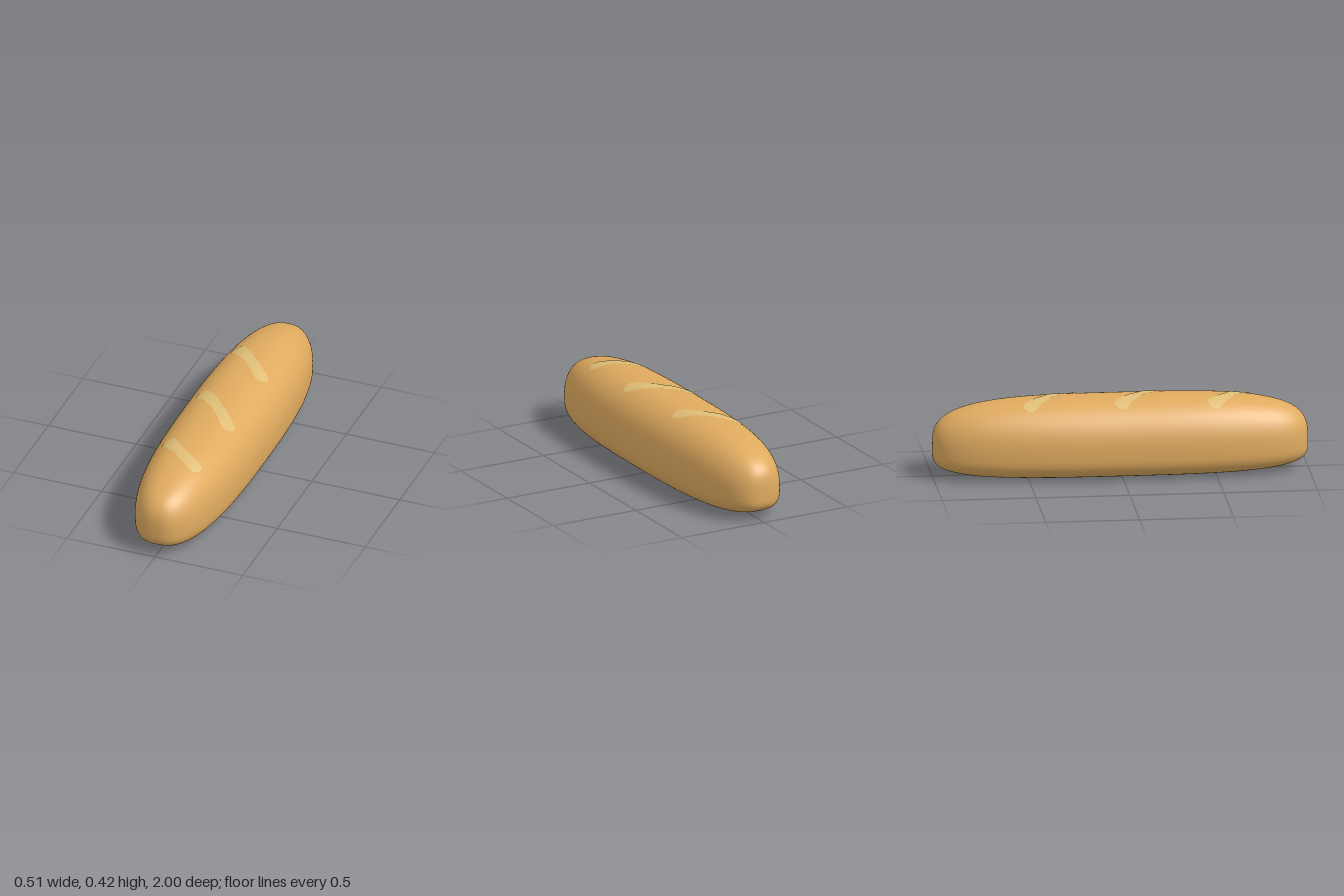
import * as THREE from 'three';

const HALF_WIDTH = 0.253, MID = 0.15, TOP = 0.273, BOTTOM = 0.148;

// Superellipse falloff: 1 in the middle, 0 at u = 1
const fall = (u, n) => Math.pow(Math.max(0, 1 - Math.pow(Math.abs(u), n)), 1 / n);
const signedPow = (v, p) => Math.sign(v) * Math.pow(Math.abs(v), p);

// Height of the crust above a point of the plan
function crustHeight(x, z) {
  return MID + TOP * fall(z, 3.5) * fall(x / (HALF_WIDTH * fall(z, 2.7)), 2.3);
}

// Builds an indexed, smooth surface from a grid of points
function gridSurface(rows, cols, point, wrap) {
  const pos = [], index = [];
  const stride = wrap ? cols : cols + 1;
  for (let i = 0; i <= rows; i++)
    for (let j = 0; j < stride; j++) pos.push(...point(i / rows, j / cols));
  for (let i = 0; i < rows; i++)
    for (let j = 0; j < cols; j++) {
      const k = (j + 1) % stride;
      const a = i * stride + j, b = i * stride + k;
      const c = a + stride, d = b + stride;
      index.push(a, c, b, b, c, d);
    }
  const geo = new THREE.BufferGeometry();
  geo.setAttribute('position', new THREE.Float32BufferAttribute(pos, 3));
  geo.setIndex(index);
  geo.computeVertexNormals();
  return geo;
}

// Loaf: rounded sections, domed above and flatter below, closing at both ends
function makeLoaf() {
  const rows = 72, cols = 72;
  const geo = gridSurface(rows, cols, (u, v) => {
    const phi = u * Math.PI, a = v * Math.PI * 2;
    const end = u === 0 || u === 1;
    const z = end ? 1 - 2 * u : signedPow(Math.cos(phi), 2 / 2.7);
    const w = end ? 0 : HALF_WIDTH * fall(z, 2.7);
    const up = Math.sin(a) >= 0;
    const p = 2 / (up ? 2.3 : 3);
    const h = end ? 0 : up ? TOP * fall(z, 3.5) : BOTTOM * fall(z, 4);
    return [w * signedPow(Math.cos(a), p), MID + h * signedPow(Math.sin(a), p), z];
  }, true);
  // The tips face straight along z
  const normals = geo.attributes.normal;
  for (let j = 0; j < cols; j++) {
    normals.setXYZ(j, 0, 0, 1);
    normals.setXYZ(rows * cols + j, 0, 0, -1);
  }
  return geo;
}

// Score mark: a ribbon with wider, rounded ends, draped over the crust
function makeMark(path) {
  const curve = new THREE.CatmullRomCurve3(path.map(([x, z]) => new THREE.Vector3(x, 0, z)));
  return gridSurface(40, 8, (u, v) => {
    const p = curve.getPointAt(u), t = curve.getTangentAt(u);
    const e = Math.abs(2 * u - 1);
    const half = (0.031 + 0.014 * e * e) * Math.sqrt(Math.max(0, 1 - Math.pow(e, 10)))
      + 0.003 * Math.sin(u * 23) * (1 - e);
    const s = (2 * v - 1) * half;
    const x = p.x + t.z * s, z = p.z - t.x * s;
    return [x, crustHeight(x, z) + 0.0025, z];
  }, false);
}

export function createModel() {
  const model = new THREE.Group();
  model.name = 'breadLoaf';

  const loaf = new THREE.Mesh(makeLoaf(), new THREE.MeshStandardMaterial({ color: 0xdfaa5f }));
  loaf.name = 'loaf';
  model.add(loaf);

  // Three slanted score marks along the top
  const markMaterial = new THREE.MeshStandardMaterial({ color: 0xe0be78, side: THREE.DoubleSide });
  const paths = [
    [[-0.14, -0.51], [-0.08, -0.46], [0.05, -0.33], [0.13, -0.24]],
    [[-0.15, -0.02], [-0.09, 0.02], [0.04, 0.15], [0.14, 0.27]],
    [[-0.14, 0.47], [-0.08, 0.53], [0.03, 0.62], [0.12, 0.68]],
  ];
  paths.forEach((path, i) => {
    const mark = new THREE.Mesh(makeMark(path), markMaterial);
    mark.name = `scoreMark${i + 1}`;
    model.add(mark);
  });
  return model;
}
